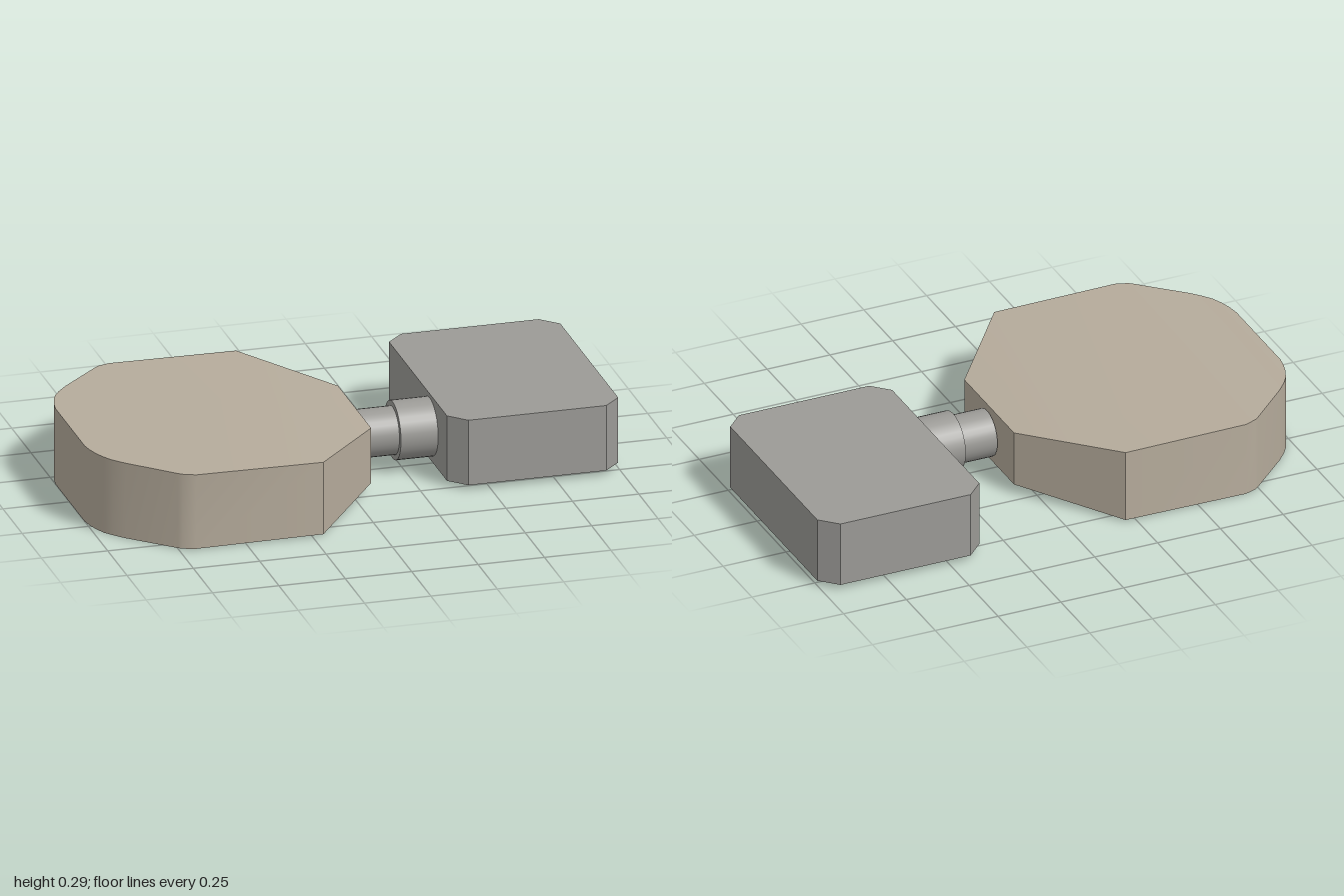
import * as THREE from 'three';
import { toCreasedNormals } from 'three/addons/utils/BufferGeometryUtils.js';

const MID_Y = 0.151;
const MID_Z = 0.008;

// Joins rectangular sections [x, half width, half height] along x, with closed ends.
function loftAlongX(sections) {
  const positions = [];
  const index = [];
  for (const [x, w, h] of sections) {
    positions.push(x, -h, w, x, h, w, x, h, -w, x, -h, -w);
  }
  const quad = (a, b, c, d) => index.push(a, b, c, a, c, d);
  for (let i = 0; i < sections.length - 1; i++) {
    for (let k = 0; k < 4; k++) {
      const a = i * 4 + k, b = i * 4 + (k + 1) % 4;
      quad(a, a + 4, b + 4, b);
    }
  }
  const e = (sections.length - 1) * 4;
  quad(0, 1, 2, 3);
  quad(e + 3, e + 2, e + 1, e);
  const geometry = new THREE.BufferGeometry();
  geometry.setAttribute('position', new THREE.Float32BufferAttribute(positions, 3));
  geometry.setIndex(index);
  return toCreasedNormals(geometry, 0.6);
}

export function createModel() {
  const model = new THREE.Group();
  const tan = new THREE.MeshStandardMaterial({ color: 0xb5ab9b });
  const grey = new THREE.MeshStandardMaterial({ color: 0x9b9a96 });

  const add = (name, geometry, material, x, y, z) => {
    const mesh = new THREE.Mesh(geometry, material);
    mesh.name = name;
    mesh.position.set(x, y, z);
    model.add(mesh);
    return mesh;
  };

  // Faceted grip: rounded outer end, tapering in thickness towards the shaft
  const grip = loftAlongX([
    [-1, 0.19, 0.147], [-0.993, 0.235, 0.147], [-0.98, 0.28, 0.147],
    [-0.963, 0.318, 0.147], [-0.94, 0.352, 0.146], [-0.905, 0.392, 0.146],
    [-0.75, 0.54, 0.145], [-0.735, 0.552, 0.145], [-0.69, 0.569, 0.144],
    [-0.21, 0.569, 0.14], [0.072, 0.215, 0.107],
  ]);
  add('grip', grip, tan, 0, MID_Y, MID_Z);

  // Stepped round shaft
  for (const [name, x0, x1, r] of [['shaft', 0.08, 0.215, 0.09], ['collar', 0.215, 0.358, 0.11]]) {
    const part = new THREE.CylinderGeometry(r, r, x1 - x0, 32).rotateZ(Math.PI / 2);
    add(name, part, grey, (x0 + x1) / 2, 0.152, MID_Z);
  }

  // Rectangular block with cut upright corners
  const c = 0.063, hx = 0.3225, hz = 0.44, hy = 0.1265;
  const block = loftAlongX([[-hx, hz - c, hy], [c - hx, hz, hy], [hx - c, hz, hy], [hx, hz - c, hy]]);
  add('block', block, grey, 0.6775, MID_Y, -0.145);

  return model;
}
